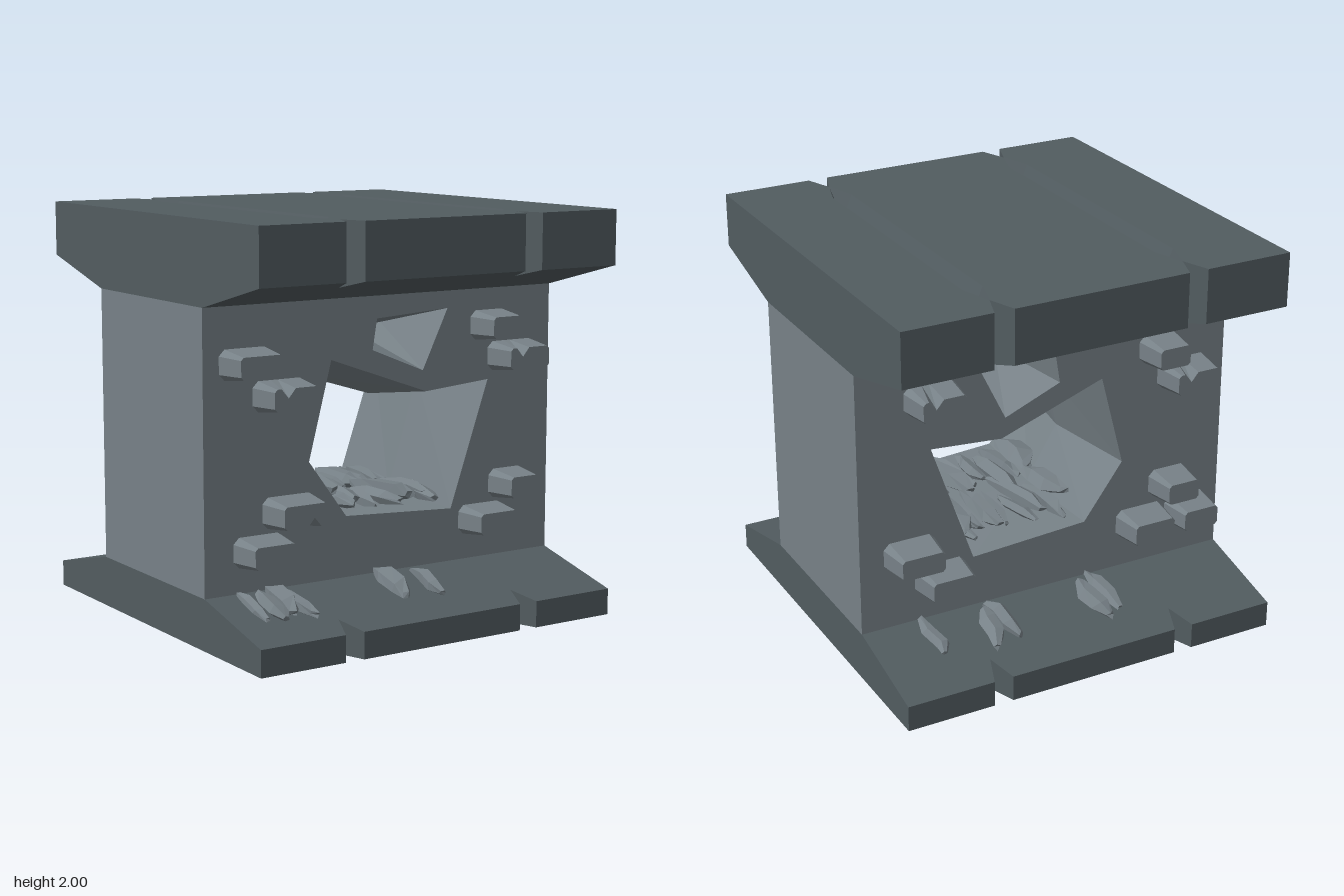
import * as THREE from 'three';

const mat = (name, color) => Object.assign(
  new THREE.MeshStandardMaterial({ color, flatShading: true, side: THREE.DoubleSide }), { name });

// Mesh from a list of planar polygons, each fanned from its first corner
function polyMesh(name, polys, material) {
  const pos = [];
  for (const p of polys)
    for (let i = 1; i < p.length - 1; i++) pos.push(...p[0], ...p[i], ...p[i + 1]);
  const g = new THREE.BufferGeometry();
  g.setAttribute('position', new THREE.Float32BufferAttribute(pos, 3));
  g.computeVertexNormals();
  const m = new THREE.Mesh(g, material);
  m.name = name;
  return m;
}

// Quads joining successive rings of equal length
function loft(rings) {
  const out = [];
  for (let k = 0; k + 1 < rings.length; k++) {
    const a = rings[k], b = rings[k + 1];
    a.forEach((p, i) => {
      const j = (i + 1) % a.length;
      out.push([p, a[j], b[j], b[i]]);
    });
  }
  return out;
}

let seed = 7;
const rand = () => (seed = (seed * 16807) % 2147483647) / 2147483647;

// Holes through the wall: rim outline and narrower outline at mid depth
const HOLES = [
  {
    rim: [[-0.305, 1.31], [0.245, 1.115], [0.62, 1.145], [0.4, 0.515], [-0.22, 0.55], [-0.43, 0.835]],
    mid: [[-0.257, 1.195], [0.245, 1.04], [0.545, 1.105], [0.37, 0.53], [-0.17, 0.57], [-0.34, 0.85]],
  },
  {
    rim: [[-0.045, 1.49], [0.37, 1.515], [0.225, 1.22], [-0.07, 1.34]],
    mid: [[0.04, 1.37], [0.265, 1.45], [0.19, 1.345], [0.02, 1.36]],
  },
];

function wallFace(sign, material) {
  const shape = new THREE.Shape([[-1, 0.25], [1, 0.25], [1, 1.6], [-1, 1.6]].map(p => new THREE.Vector2(...p)));
  for (const h of HOLES)
    shape.holes.push(new THREE.Path(h.rim.map(([x, y]) => new THREE.Vector2(x * sign, y))));
  const g = new THREE.ShapeGeometry(shape).translate(0, 0, 0.5);
  if (sign < 0) g.rotateY(Math.PI);
  const m = new THREE.Mesh(g, material);
  m.name = sign > 0 ? 'wallFront' : 'wallBack';
  return m;
}

// Front edge of a slab in plan, with a V notch at x = -0.5 and 0.5
const EDGE = [[-1, 1], [-0.55, 1], [-0.5, 0.86], [-0.45, 1], [0.45, 1], [0.5, 0.86], [0.55, 1], [1, 1]];

// Rim and sloping face of a slab, for front and back, plus its two ends
function slab(name, yFlat, yRim, yInner, material) {
  const g = new THREE.Group();
  g.name = name;
  const ySlope = z => yRim + (yInner - yRim) * (1 - z) / 0.5;
  const up = yFlat > yRim;
  const face = p => (up ? p : p.reverse());
  for (const turn of [0, Math.PI]) {
    const polys = [];
    for (let i = 0; i + 1 < EDGE.length; i++) {
      const [x0, z0] = EDGE[i], [x1, z1] = EDGE[i + 1];
      const a = [x0, ySlope(z0), z0], b = [x1, ySlope(z1), z1];
      polys.push(face([a, b, [x1, yFlat, z1], [x0, yFlat, z0]]));
      polys.push(face([[x0, yInner, 0.5], [x1, yInner, 0.5], b, a]));
    }
    polys.push(face([[1, yFlat, 1], [1, yRim, 1], [1, yInner, 0.5],
      [1, yInner, -0.5], [1, yRim, -1], [1, yFlat, -1]]));
    const m = polyMesh(name + 'Side', polys, material);
    m.rotation.y = turn;
    g.add(m);
  }
  return g;
}

// Three top panels and the two V grooves between them
function capTop(material) {
  const polys = [], y = 2, d = 0.12;
  const Z = [1, 0.86, 0.7, -0.7, -0.86, -1], inset = [0.05, 0, 0.05, 0.05, 0, 0.05];
  for (let i = 0; i < 5; i++) {
    const panels = [[() => -1, k => -0.5 - inset[k]],
      [k => -0.5 + inset[k], k => 0.5 - inset[k]], [k => 0.5 + inset[k], () => 1]];
    for (const [l, r] of panels)
      polys.push([[l(i), y, Z[i]], [r(i), y, Z[i]], [r(i + 1), y, Z[i + 1]], [l(i + 1), y, Z[i + 1]]]);
  }
  for (const x of [-0.5, 0.5]) {
    const f = [x, y, 0.86], b = [x, y, -0.86], lowF = [x, y - d, 0.7], lowB = [x, y - d, -0.7];
    const lF = [x - 0.05, y, 0.7], lB = [x - 0.05, y, -0.7], rF = [x + 0.05, y, 0.7], rB = [x + 0.05, y, -0.7];
    polys.push([f, lowF, lF], [f, rF, lowF], [lF, lowF, lowB, lB], [lowF, rF, rB, lowB],
      [b, lB, lowB], [b, lowB, rB]);
  }
  return polyMesh('capTop', polys, material);
}

// Outline of a brick with clipped corners; c and depth place a chip in its top edge
const brickRing = (w, t, k, z, c, depth) => [
  [c, t - depth], [c - 0.038, t], [k - w, t], [-w, t - k], [-w, k - t], [k - w, -t],
  [w - k, -t], [w, k - t], [w, t - k], [w - k, t], [c + 0.038, t]].map(([x, y]) => [x, y, z]);

function brick([x, y, w, h, chip = 0], material) {
  const c = chip ? -0.045 : 0;
  const back = brickRing(w / 2, h / 2, 0.03, 0, c, 0);
  const front = brickRing(w / 2 - 0.024, h / 2 - 0.02, 0.014, 0.16, c, chip ? 0.045 : 0);
  const m = polyMesh('brick', [...loft([back, front]), front], material);
  m.position.set(x, y, 0.5);
  if (chip < 0) m.rotation.z = Math.PI;
  return m;
}

// Long five-sided shard of stone lying along z
function shard(x, y, z, r, len, tilt, material) {
  const start = rand() * 6;
  const spread = Array.from({ length: 5 }, () => 0.8 + rand() * 0.35);
  const rings = [[-0.5, 0.4], [-0.2, 1], [0.2, 0.95], [0.5, 0.4]].map(([s, q]) => {
    const dx = (rand() - 0.5) * r * 0.6;
    return spread.map((f, i) => {
      const a = start + i * Math.PI * 0.4;
      return [dx + Math.cos(a) * r * q * f, Math.sin(a) * r * q * f * 0.85, (s + (rand() - 0.5) * 0.15) * len];
    });
  });
  const m = polyMesh('rubble', [...loft(rings), [...rings[0]].reverse(), rings[3]], material);
  m.position.set(x, y, z);
  m.rotation.set(tilt, (rand() - 0.5) * 0.4, 0);
  return m;
}

export function createModel() {
  const stone = mat('wallStone', 0x778187);
  const dark = mat('darkStone', 0x525c60);
  const model = new THREE.Group();
  model.name = 'ruinedWall';

  // Wall shell with flared holes
  model.add(wallFace(1, stone), wallFace(-1, stone));
  const right = [[1, 0.25, 0.5], [1, 0.25, -0.5], [1, 1.6, -0.5], [1, 1.6, 0.5]];
  model.add(polyMesh('wallEnds', [right, right.map(([x, y, z]) => [-x, y, -z])], stone));
  for (const h of HOLES) {
    const ring = (pts, z) => pts.map(([x, y]) => [x, y, z]);
    model.add(polyMesh('holeLining', loft([ring(h.rim, -0.5), ring(h.mid, 0), ring(h.rim, 0.5)]), stone));
  }

  // Cap and open-bottomed base
  model.add(slab('cap', 2, 1.73, 1.6, dark), capTop(dark), slab('base', 0, 0.13, 0.25, dark));

  // Protruding bricks: x, y, width, height, chip (1 top, -1 bottom)
  const frontBricks = [[-0.78, 1.33, 0.27, 0.145], [-0.595, 1.17, 0.285, 0.145, 1],
    [0.62, 1.42, 0.22, 0.145], [0.76, 1.26, 0.285, 0.145, 1], [-0.545, 0.615, 0.285, 0.15, -1],
    [-0.71, 0.445, 0.27, 0.145], [0.74, 0.615, 0.215, 0.145], [0.583, 0.45, 0.27, 0.145]];
  // The back list is as seen when facing the back
  const backBricks = [[-0.62, 1.415, 0.27, 0.145, 1], [0.62, 1.415, 0.215, 0.145],
    [0.76, 1.26, 0.28, 0.145, 1], [-0.74, 0.63, 0.27, 0.145], [-0.58, 0.465, 0.27, 0.145],
    [0.7, 0.67, 0.22, 0.145], [0.54, 0.485, 0.27, 0.15], [0.81, 0.495, 0.24, 0.145]];
  // Shards on the sloping base: x, radius
  const frontShards = [[-0.83, 0.035], [-0.745, 0.045], [-0.67, 0.06], [-0.62, 0.04], [-0.05, 0.06], [0.13, 0.04]];
  const backShards = [[-0.68, 0.04], [-0.4, 0.05], [-0.32, 0.055], [0.18, 0.055], [0.26, 0.04]];
  [[frontBricks, frontShards, 0], [backBricks, backShards, Math.PI]].forEach(([bricks, shards, turn]) => {
    const side = new THREE.Group();
    side.name = turn ? 'backDetails' : 'frontDetails';
    side.rotation.y = turn;
    bricks.forEach(b => side.add(brick(b, stone)));
    shards.forEach(([x, r], i) => side.add(shard(x, 0.225, 0.64 + (i % 2) * 0.05, r, 0.27, 0.24, stone)));
    model.add(side);
  });

  // Rubble on the floor of the large hole: x, y, radius
  const heap = [[-0.19, 0.64, 0.07], [-0.13, 0.58, 0.05], [-0.04, 0.58, 0.055], [0.02, 0.565, 0.04],
    [0.13, 0.57, 0.045], [0.2, 0.585, 0.065], [0.28, 0.565, 0.045], [0.33, 0.58, 0.05], [0.37, 0.57, 0.045]];
  for (const z of [-0.2, 0.2])
    heap.forEach(([x, y, r], i) => model.add(
      shard(x, y, z + (rand() - 0.5) * 0.16, r * (z > 0 ? 1 : 0.9), 0.3 + (i % 3) * 0.05, 0, stone)));

  return model;
}
